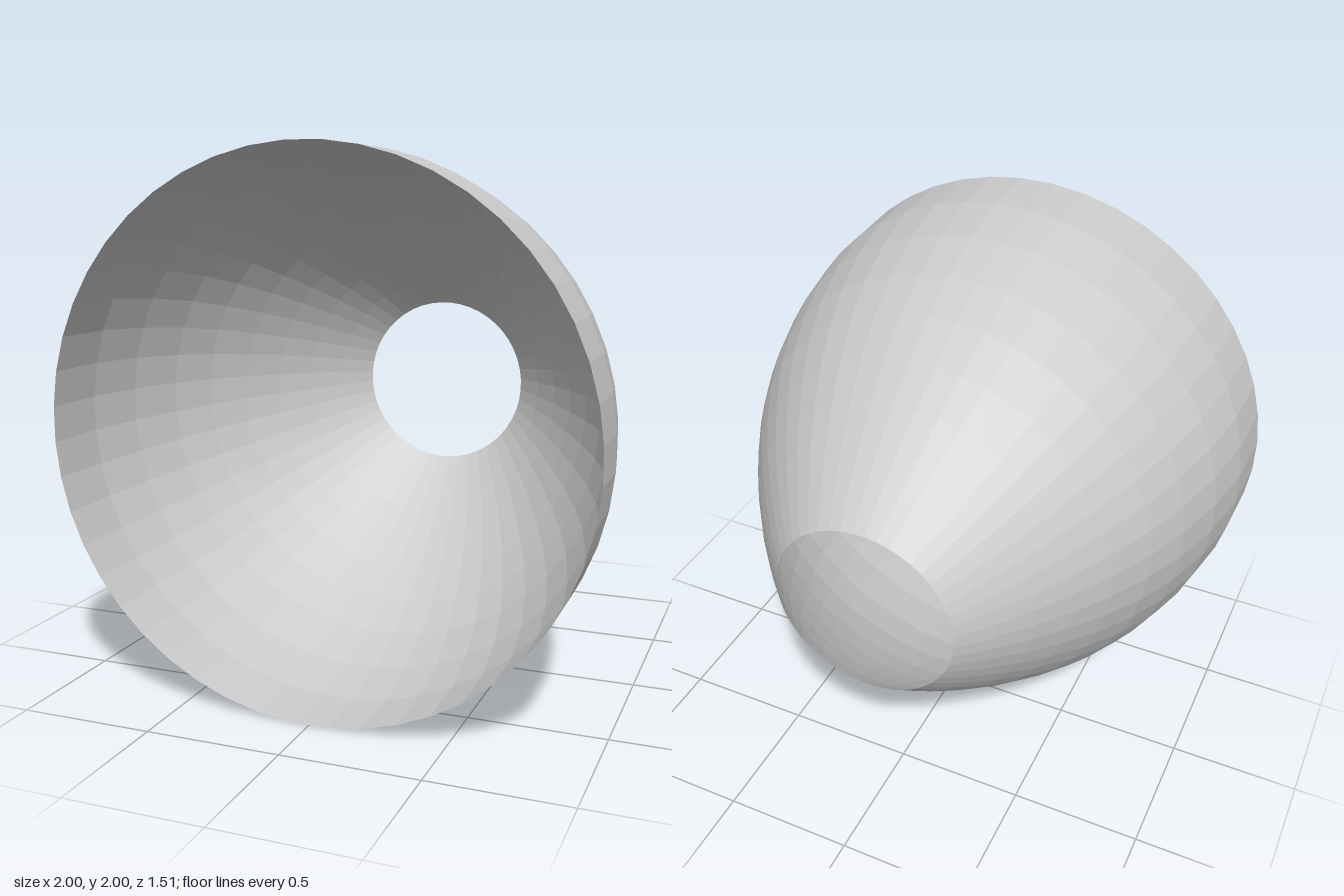
import * as THREE from 'three';

export function createModel() {
  const group = new THREE.Group();
  const segments = 48;
  const half = Math.PI / segments;

  // Profile of the thin shell: [radius, z], narrow rear opening to wide front rim
  const profile = [
    [0.348, -0.755], [0.45, -0.645], [0.55, -0.525], [0.643, -0.40], [0.735, -0.26],
    [0.824, -0.10], [0.896, 0.07], [0.958, 0.28], [0.995, 0.505], [1.0, 0.755],
  ].map(([r, z]) => new THREE.Vector2(r / Math.cos(half), z));

  // Facets are centred on the axes, so the lathe starts half a step round
  const geometry = new THREE.LatheGeometry(profile, segments, half, Math.PI * 2);
  geometry.rotateX(Math.PI / 2);

  const material = new THREE.MeshStandardMaterial({
    color: 0xcccccc, flatShading: true, side: THREE.DoubleSide,
  });
  const shade = new THREE.Mesh(geometry, material);
  shade.name = 'reflectorShell';
  shade.position.y = 1;
  group.add(shade);
  return group;
}
